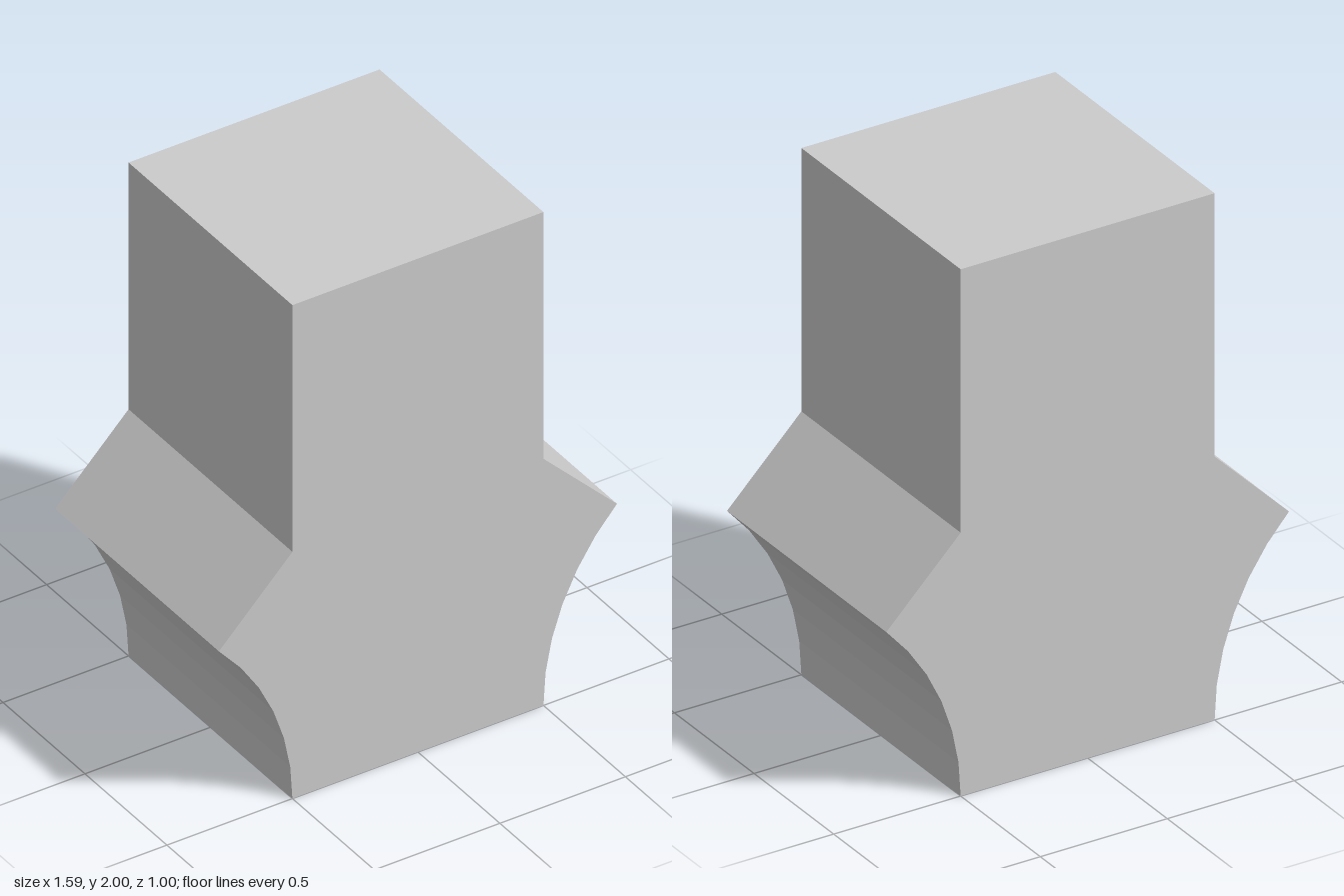
import * as THREE from 'three';

const HALF = 0.5;          // half width of the square column
const ARC_RADIUS = 1;      // hollow flank, centred at x = 1.5, y = 0
const ARC_STEPS = 6;

export function createModel() {
  const group = new THREE.Group();
  group.name = 'flaredBlock';

  // Right half of the profile: concave faceted flank, sloped shoulder, column
  const side = [];
  for (let i = 0; i <= ARC_STEPS; i++) {
    const a = (i / ARC_STEPS) * Math.PI / 4;
    side.push(new THREE.Vector2(
      HALF + ARC_RADIUS * (1 - Math.cos(a)),
      ARC_RADIUS * Math.sin(a)
    ));
  }
  side.push(new THREE.Vector2(HALF, 1), new THREE.Vector2(HALF, 2));

  // Mirror it to close the outline
  const mirrored = side.map(p => new THREE.Vector2(-p.x, p.y)).reverse();
  const outline = new THREE.Shape([...side, ...mirrored]);

  const geometry = new THREE.ExtrudeGeometry(outline, { depth: 2 * HALF, bevelEnabled: false });
  geometry.translate(0, 0, -HALF);

  const material = new THREE.MeshStandardMaterial({ color: 0xcccccc, flatShading: true });
  const body = new THREE.Mesh(geometry, material);
  body.name = 'columnWithFlaredBase';
  group.add(body);
  return group;
}
